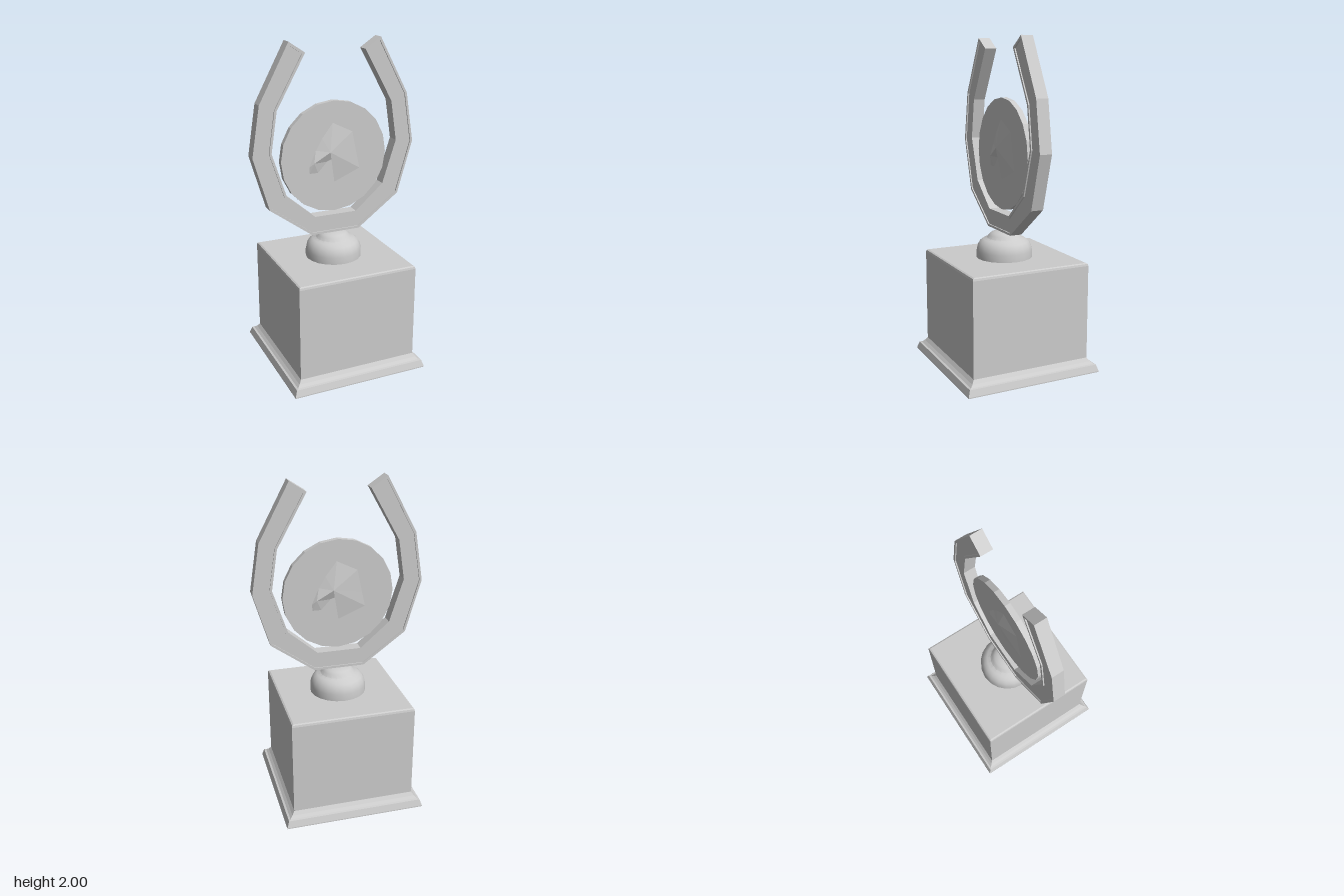
import * as THREE from 'three';
import { toCreasedNormals } from 'three/addons/utils/BufferGeometryUtils.js';

const material = new THREE.MeshStandardMaterial({ color: 0xcccccc });
const v2 = ([x, y]) => new THREE.Vector2(x, y);

function mesh(name, geometry, y = 0) {
  const m = new THREE.Mesh(geometry, material);
  m.name = name;
  m.position.y = y;
  return m;
}

// Flat-faced copy of a geometry
function faceted(geometry) {
  const g = geometry.index ? geometry.toNonIndexed() : geometry;
  g.computeVertexNormals();
  return g;
}

// Moves each edge of a counter-clockwise outline inward by d
function inset(points, d) {
  const n = points.length;
  return points.map((p, i) => {
    const a = p.clone().sub(points[(i + n - 1) % n]).normalize();
    const b = points[(i + 1) % n].clone().sub(p).normalize();
    const na = new THREE.Vector2(-a.y, a.x);
    const nb = new THREE.Vector2(-b.y, b.x);
    return p.clone().add(na.clone().add(nb).multiplyScalar(d / (1 + na.dot(nb))));
  });
}

// Extrusion centred on z = 0
function slab(shape, depth) {
  return new THREE.ExtrudeGeometry(shape, { depth, bevelEnabled: false }).translate(0, 0, -depth / 2);
}

// Square plinth with a moulded foot: a four-sided lathe
function plinth() {
  const profile = [[0, 0], [0.43, 0], [0.43, 0.006], [0.417, 0.045], [0.405, 0.048], [0.39, 0.062],
    [0.375, 0.083], [0.375, 0.66], [0.372, 0.672], [0.363, 0.677], [0, 0.677]];
  const points = profile.map(([r, y]) => new THREE.Vector2(r * Math.SQRT2, y));
  return faceted(new THREE.LatheGeometry(points, 4).rotateY(Math.PI / 4));
}

// Stepped dome between plinth and frame
function knob() {
  const profile = [[0.172, 0.67], [0.172, 0.72], [0.165, 0.75], [0.15, 0.775], [0.13, 0.79], [0.107, 0.797],
    [0.095, 0.815], [0.08, 0.828], [0.06, 0.835], [0, 0.845]];
  return toCreasedNormals(new THREE.LatheGeometry(profile.map(v2), 20), 0.7);
}

// Horseshoe-shaped frame: raised rim around a recessed panel
function frame() {
  const outer = [[0.155, 0.84], [0.42, 1.035], [0.515, 1.36], [0.467, 1.66], [0.285, 2.0]];
  const inner = [[0.187, 1.935], [0.363, 1.62], [0.4, 1.375], [0.314, 1.11], [0.135, 0.955]];
  const right = [...outer, ...inner];
  const left = right.map(([x, y]) => [-x, y]).reverse();
  const outline = [...right, ...left].map(v2);
  const panelOutline = inset(outline, 0.014);

  const rimShape = new THREE.Shape(outline);
  rimShape.holes.push(new THREE.Path(panelOutline));
  const group = new THREE.Group();
  group.name = 'horseshoeFrame';
  group.add(mesh('frameRim', slab(rimShape, 0.075)));
  group.add(mesh('framePanel', slab(new THREE.Shape(panelOutline), 0.06)));
  return group;
}

// Low relief of a horse head: outline on the disc, rising to ridge points
function horseHead() {
  const base = 0.017;
  const top = [[-0.16, 1.22], [-0.163, 1.26], [-0.12, 1.36], [-0.08, 1.43], [-0.01, 1.52], [0.12, 1.455],
    [0.15, 1.31], [0.17, 1.22], [0, 1.15], [0.01, 1.305], [-0.045, 1.285], [-0.105, 1.22]]
    .map(([x, y]) => [x, y, base]);
  const brow = [-0.035, 1.345, 0.04];
  const nose = [-0.135, 1.285, 0.031];
  const positions = [];
  const tri = (a, b, c) => positions.push(...a, ...c, ...b);
  const fan = (tip, from, to) => {
    for (let i = from; i < to; i++) tri(tip, top[i], top[i + 1]);
  };
  fan(nose, 0, 2);
  tri(nose, top[2], brow);
  fan(brow, 2, 10);
  tri(brow, top[10], nose);
  fan(nose, 10, 11);
  tri(nose, top[11], top[0]);
  const g = new THREE.BufferGeometry();
  g.setAttribute('position', new THREE.Float32BufferAttribute(positions, 3));
  g.computeVertexNormals();
  return g;
}

export function createModel() {
  const model = new THREE.Group();
  model.name = 'trophy';
  model.add(mesh('plinth', plinth()), mesh('knob', knob()), frame());

  // Medal disc
  const disc = new THREE.CylinderGeometry(0.338, 0.338, 0.035, 20).rotateX(Math.PI / 2);
  model.add(mesh('disc', faceted(disc), 1.31));

  // The same relief on both faces of the disc
  const relief = horseHead();
  const front = mesh('horseHeadFront', relief);
  const back = mesh('horseHeadBack', relief);
  back.rotation.y = Math.PI;
  model.add(front, back);
  return model;
}
